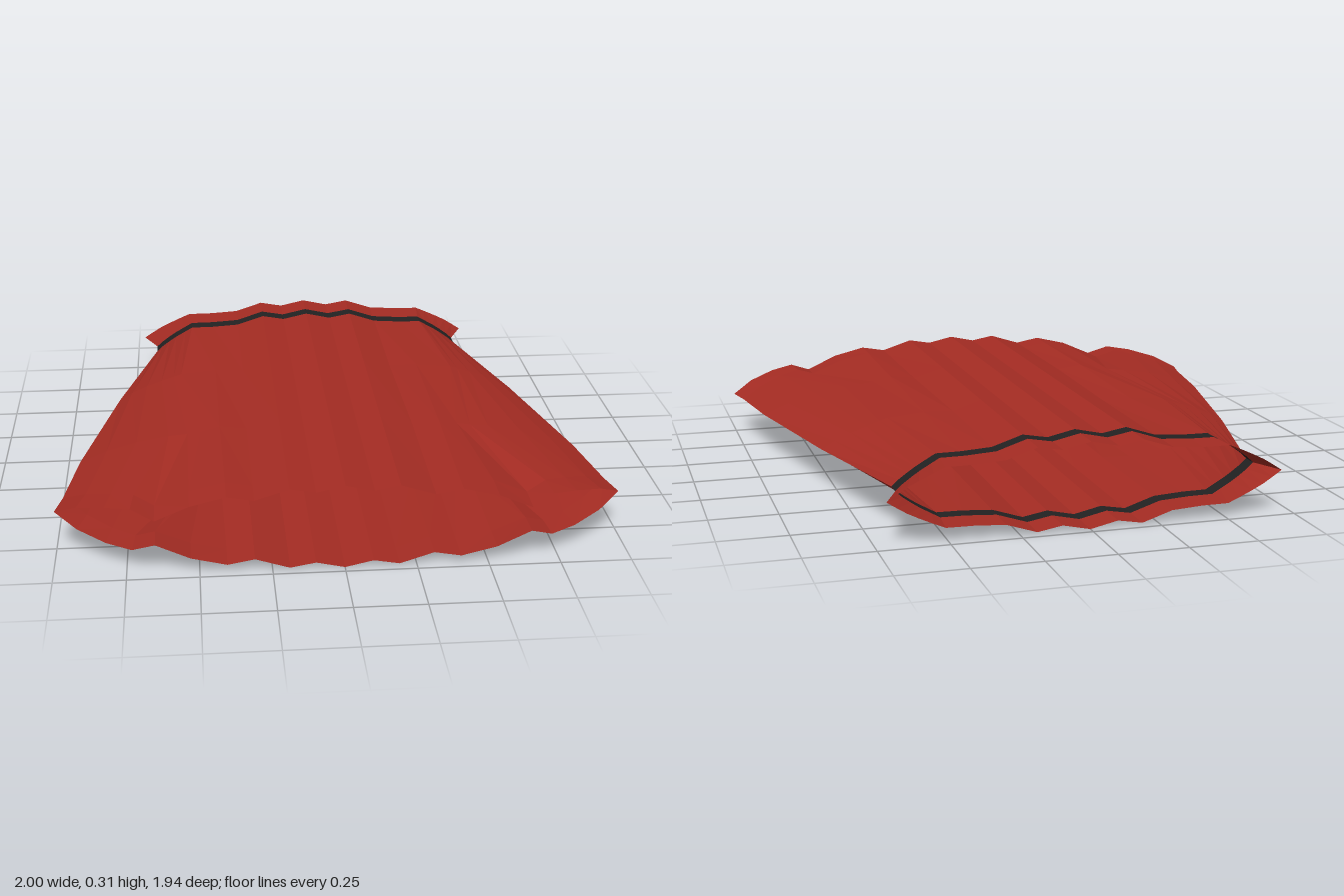
import * as THREE from 'three';

const MID = 0.157; // height of the side seams

// Half cross-sections from the centre (first) to the side seam (last):
// x = distance from the centre, h = height above the seam plane
const WAIST_H = [.155, .133, .149, .113, .106, .105, .088, .065, .045, .023, 0];
const WAIST_X = [0, .10, .19, .30, .41, .50, .53, .57, .60, .63, .655];
const flat = z => Array(11).fill(z);

const rings = [
  { z: flat(-.97), x: [0, .10, .19, .30, .41, .51, .55, .60, .64, .675, .71], h: WAIST_H },
  { z: flat(-.85), x: WAIST_X, h: WAIST_H },
  { z: flat(-.79), x: WAIST_X, h: WAIST_H },
  { z: flat(-.24),
    x: [0, .10, .19, .30, .41, .55, .58, .63, .69, .75, .80],
    h: [.155, .133, .149, .113, .116, .103, .093, .077, .056, .029, 0] },
  { z: flat(.36),
    x: [0, .10, .19, .31, .41, .48, .53, .60, .72, .83, .93],
    h: [.155, .133, .149, .113, .126, .108, .100, .094, .073, .042, 0] },
  { z: [.85, .85, .85, .85, .85, .85, .85, .82, .78, .72, .66],
    x: [0, .10, .19, .31, .405, .53, .65, .72, .80, .89, .975],
    h: [.155, .133, .149, .111, .128, .100, .050, .078, .066, .040, 0] },
  { z: [.97, .97, .97, .97, .97, .97, .965, .93, .89, .83, .77],
    x: [0, .10, .19, .31, .405, .53, .65, .73, .82, .92, 1],
    h: [.155, .133, .149, .111, .128, .098, .045, .078, .067, .041, 0] },
];

// Mirror a half section into a closed loop: over the top from left to right, back underneath
function loop({ x, z, h }) {
  const n = x.length - 1, pts = [];
  for (let i = n; i > -n; i--) {
    const k = Math.abs(i);
    pts.push([Math.sign(i) * x[k], MID + h[k], z[k]]);
  }
  for (let i = -n; i < n; i++) {
    const k = Math.abs(i);
    pts.push([Math.sign(i) * x[k], MID - h[k], z[k]]);
  }
  return pts;
}

// Skin consecutive loops into an open tube
function loft(sections) {
  const loops = sections.map(loop), n = loops[0].length, index = [];
  for (let r = 0; r < loops.length - 1; r++) {
    for (let i = 0; i < n; i++) {
      const a = r * n + i, b = r * n + (i + 1) % n;
      index.push(a, a + n, b, b, a + n, b + n);
    }
  }
  const geometry = new THREE.BufferGeometry();
  geometry.setAttribute('position', new THREE.Float32BufferAttribute(loops.flat(2), 3));
  geometry.setIndex(index);
  // reverse the winding if the top centre faces inward
  const p = geometry.attributes.position;
  const v = k => new THREE.Vector3().fromBufferAttribute(p, k);
  const normal = v(10 + n).sub(v(10)).cross(v(11).sub(v(10)));
  if (normal.y < 0) geometry.setIndex(index.reverse());
  geometry.computeVertexNormals();
  return geometry;
}

export function createModel() {
  const group = new THREE.Group();
  group.name = 'skirt';

  const cloth = new THREE.MeshStandardMaterial({ color: 0xa52c23, flatShading: true, side: THREE.DoubleSide });
  cloth.name = 'red cloth';
  const trim = new THREE.MeshStandardMaterial({ color: 0x222222, flatShading: true, side: THREE.DoubleSide });
  trim.name = 'black trim';

  const add = (name, sections, material) => {
    const mesh = new THREE.Mesh(loft(sections), material);
    mesh.name = name;
    group.add(mesh);
  };

  add('waistRuffle', rings.slice(0, 2), cloth);
  add('waistBand', rings.slice(1, 3), trim);
  add('pleatedBody', rings.slice(2), cloth);

  return group;
}
